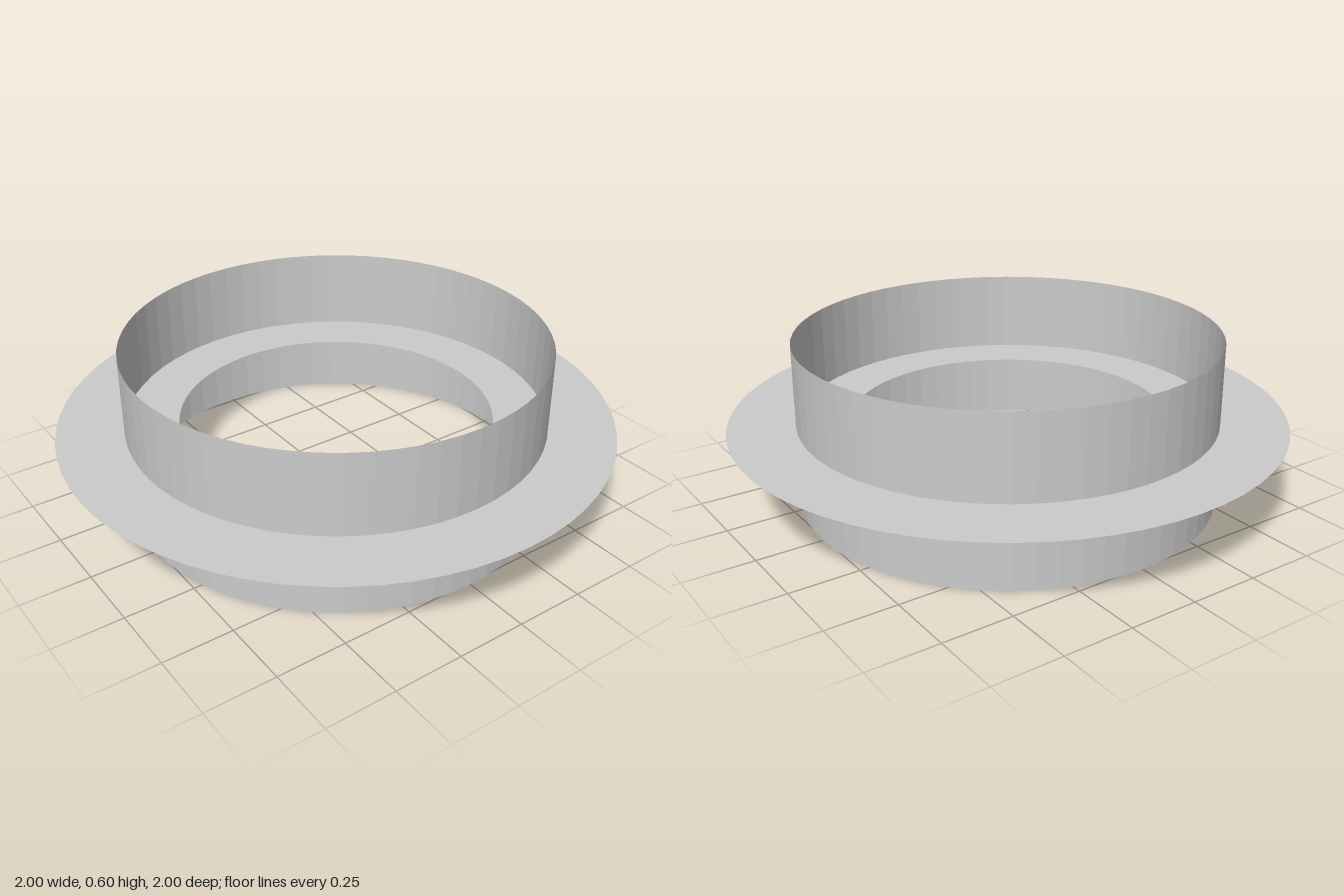
import * as THREE from 'three';

export function createModel() {
  const group = new THREE.Group();
  const material = new THREE.MeshStandardMaterial({
    color: 0xcccccc, flatShading: true, side: THREE.DoubleSide,
  });
  const segments = 64;
  const height = 0.6;

  // Open, thin-walled upright band
  const band = new THREE.Mesh(
    new THREE.CylinderGeometry(0.76, 0.76, height, segments, 1, true), material);
  band.name = 'band';
  band.position.y = height / 2;

  // Flat ring crossing the band at half height
  const flange = new THREE.Mesh(new THREE.RingGeometry(0.567, 1, segments), material);
  flange.name = 'flange';
  flange.rotation.x = -Math.PI / 2;
  flange.position.y = height / 2;

  group.add(band, flange);
  return group;
}
